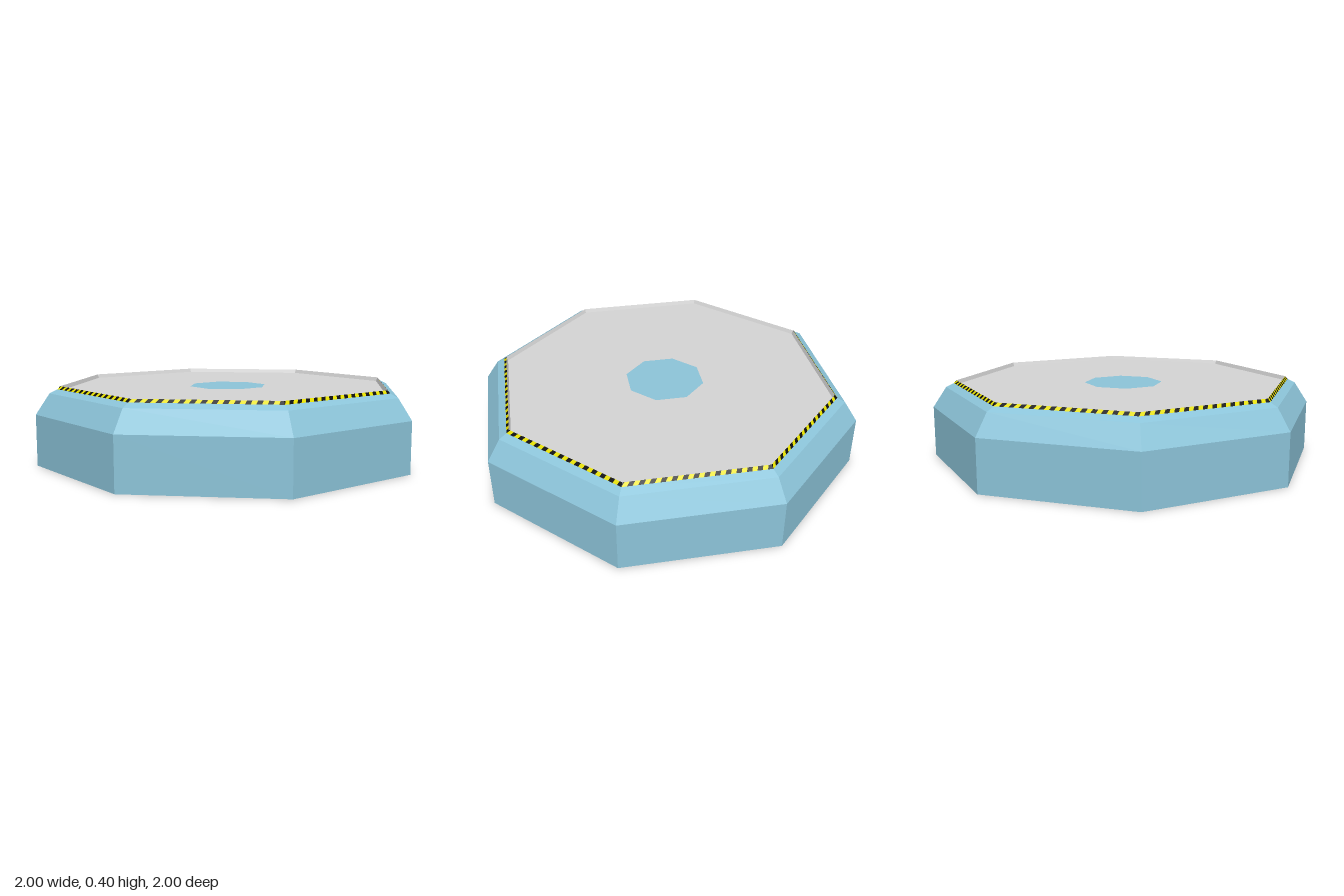
import * as THREE from 'three';

const SIDES = 8;

function material(name, color) {
  const m = new THREE.MeshStandardMaterial({ color, side: THREE.DoubleSide, flatShading: true });
  m.name = name;
  return m;
}

// Eight-sided shell from a profile of [radius, height] points
function shell(profile) {
  return new THREE.LatheGeometry(profile.map(([r, y]) => new THREE.Vector2(r, y)), SIDES);
}

// Every second slanted stripe of the sloping band, for one colour
function stripes(lower, upper, perSide, parity) {
  const positions = [];
  const corner = ([r, y], i) => {
    const a = (i / SIDES) * Math.PI * 2;
    return new THREE.Vector3(Math.sin(a) * r, y, Math.cos(a) * r);
  };
  for (let side = 0; side < SIDES; side++) {
    const at = (ring, t) =>
      corner(ring, side).lerp(corner(ring, side + 1), THREE.MathUtils.clamp(t / perSide, 0, 1));
    for (let i = parity - 2; i < perSide; i += 2) {
      const a = at(lower, i), b = at(lower, i + 1);
      const c = at(upper, i + 1.4), d = at(upper, i + 0.4);
      for (const p of [a, b, c, a, c, d]) positions.push(p.x, p.y, p.z);
    }
  }
  const g = new THREE.BufferGeometry();
  g.setAttribute('position', new THREE.Float32BufferAttribute(positions, 3));
  g.computeVertexNormals();
  return g;
}

export function createModel() {
  const blue = material('paleBlue', 0x8cc4d9);
  const grey = material('deckGrey', 0xd4d4d4);
  const yellow = material('warningYellow', 0xe6e000);
  const black = material('warningBlack', 0x0c0c0c);

  const model = new THREE.Group();
  model.name = 'landingPad';
  const add = (name, geometry, mat) => {
    const mesh = new THREE.Mesh(geometry, mat);
    mesh.name = name;
    model.add(mesh);
    return mesh;
  };

  // Hollow base: upright wall, chamfer and shallow shoulder, open below
  add('baseShell', shell([[1, 0], [1, 0.26], [0.93, 0.365], [0.89, 0.385]]), blue);

  // Warning band on the raised lip
  const lower = [0.89, 0.385], upper = [0.876, 0.4];
  add('yellowStripes', stripes(lower, upper, 28, 0), yellow);
  add('blackStripes', stripes(lower, upper, 28, 1), black);

  // Inner side of the lip, down to the sunken deck
  add('innerLip', shell([[0.876, 0.4], [0.868, 0.38]]), grey);

  // Deck sheet with the painted centre panel set into it
  const deckHeight = 0.38, panelRadius = 0.205;
  const deck = add('deck', new THREE.RingGeometry(panelRadius, 0.868, SIDES), grey);
  const panel = add('centrePanel', new THREE.CircleGeometry(panelRadius, SIDES), blue);
  for (const mesh of [deck, panel]) {
    mesh.rotation.x = -Math.PI / 2;
    mesh.position.y = deckHeight;
  }

  return model;
}
